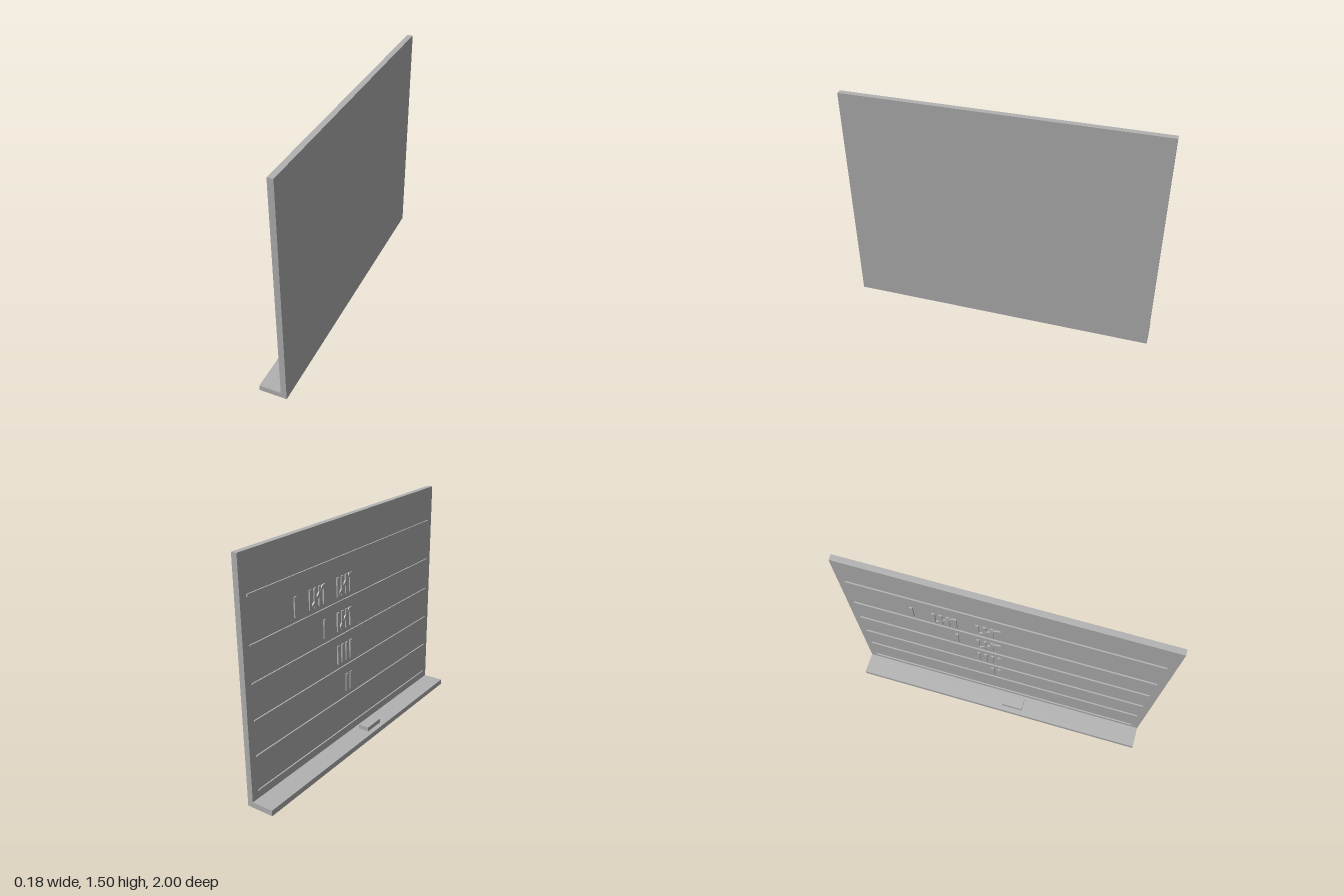
import * as THREE from 'three';

export function createModel() {
  const model = new THREE.Group();
  const grey = new THREE.MeshStandardMaterial({ color: 0xb2b2b2 });
  grey.name = 'plain grey';

  // Box given by its lower and upper limits on each axis
  function block(name, [x0, x1], [y0, y1], [z0, z1], parent = model) {
    const mesh = new THREE.Mesh(new THREE.BoxGeometry(x1 - x0, y1 - y0, z1 - z0), grey);
    mesh.position.set((x0 + x1) / 2, (y0 + y1) / 2, (z0 + z1) / 2);
    mesh.name = name;
    parent.add(mesh);
    return mesh;
  }

  // Upright board, the tray along its foot and the eraser lying on it
  block('board', [0.052, 0.089], [0, 1.5], [-1, 1]);
  block('tray', [-0.089, 0.052], [0, 0.036], [-1, 1]);
  block('eraser', [-0.055, 0.017], [0.036, 0.065], [0.03, 0.175]);

  // Raised ruled lines: a thick heading rule and five thin ones
  const relief = [0.043, 0.052];
  block('headingRule', relief, [1.255, 1.272], [-0.95, 0.95]);
  [0.986, 0.762, 0.538, 0.315, 0.091].forEach((y) =>
    block('rowRule', relief, [y - 0.004, y + 0.004], [-0.95, 0.95]));

  // Tally marks, counted from the +z side in groups of five
  const barWidth = 0.02, step = 0.0444, barHeight = 0.123;
  function tally(count, bottom) {
    const row = new THREE.Group();
    row.name = 'tallyRow';
    model.add(row);
    for (let i = 0; i < count; i++) {
      const groupStart = -0.022 - Math.floor(i / 5) * step * 6.1;
      const k = i % 5;
      if (k < 4) {
        const z = groupStart - k * step;
        block('tallyBar', relief, [bottom, bottom + barHeight], [z - barWidth / 2, z + barWidth / 2], row);
      } else {
        // Slanted stroke across the four bars, cut level with their ends
        const far = groupStart - 3 * step - barWidth / 2;
        const near = groupStart + barWidth / 2;
        const w = 0.027;
        const shape = new THREE.Shape([
          new THREE.Vector2(-far, bottom), new THREE.Vector2(-near + w, bottom + barHeight),
          new THREE.Vector2(-near, bottom + barHeight), new THREE.Vector2(-far - w, bottom),
        ]);
        const stroke = new THREE.Mesh(
          new THREE.ExtrudeGeometry(shape, { depth: 0.009, bevelEnabled: false }), grey);
        stroke.rotation.y = Math.PI / 2;
        stroke.position.x = relief[0] - 0.0005;
        stroke.name = 'tallyStroke';
        row.add(stroke);
      }
    }
  }
  [[11, 1.021], [6, 0.797], [4, 0.575], [2, 0.352]].forEach(([n, y]) => tally(n, y));

  return model;
}
